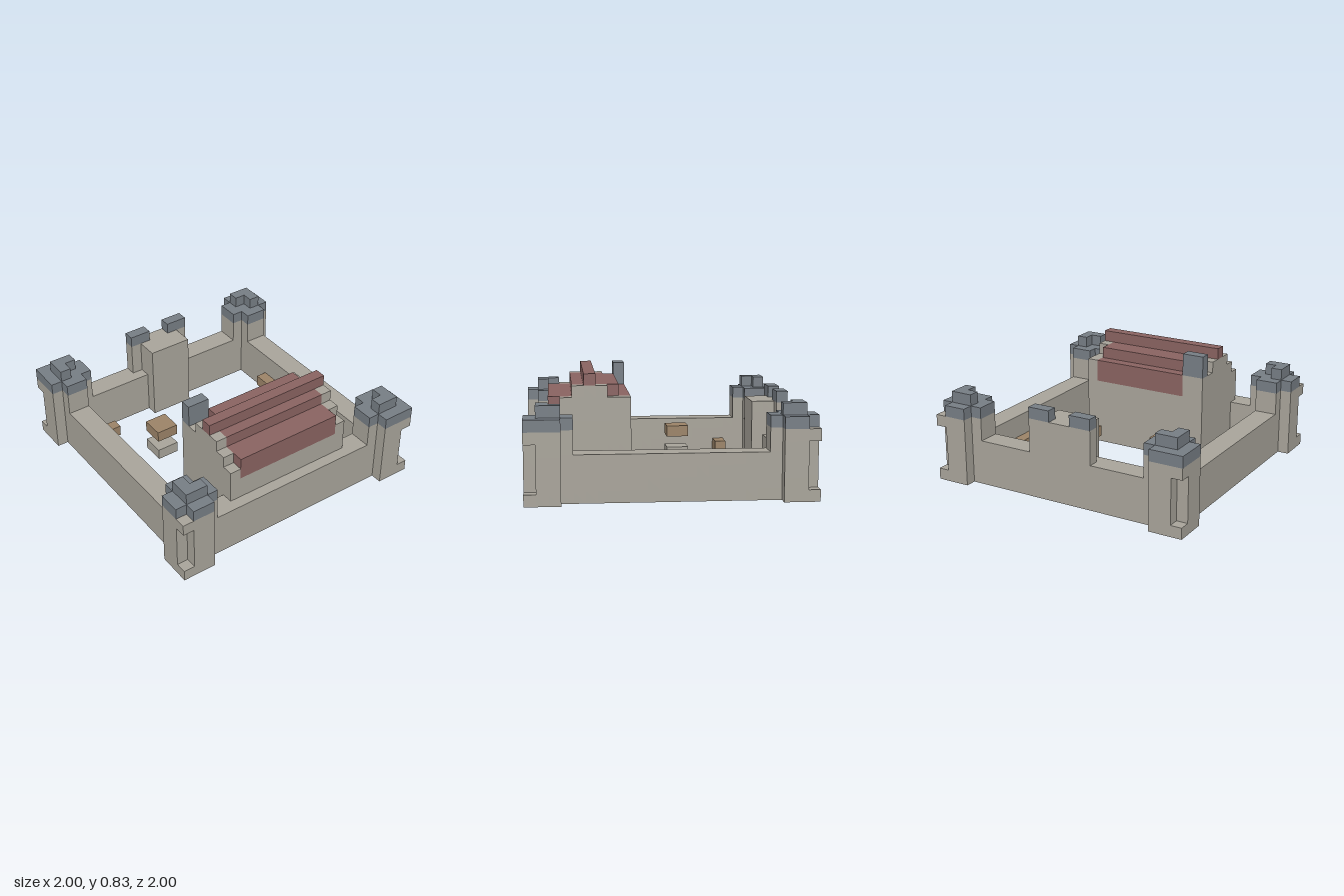
import * as THREE from 'three';

const UNIT = 1 / 12; // edge length of one block

function makeMaterial(name, color) {
  const m = new THREE.MeshStandardMaterial({ color, side: THREE.DoubleSide });
  m.name = name;
  return m;
}

// Block faces, wound outwards; the shell is open underneath.
const FACES = [
  { d: [1, 0, 0], c: [[1, 0, 0], [1, 1, 0], [1, 1, 1], [1, 0, 1]] },
  { d: [-1, 0, 0], c: [[0, 0, 0], [0, 0, 1], [0, 1, 1], [0, 1, 0]] },
  { d: [0, 1, 0], c: [[0, 1, 0], [0, 1, 1], [1, 1, 1], [1, 1, 0]] },
  { d: [0, 0, 1], c: [[0, 0, 1], [1, 0, 1], [1, 1, 1], [0, 1, 1]] },
  { d: [0, 0, -1], c: [[0, 0, 0], [0, 1, 0], [1, 1, 0], [1, 0, 0]] },
];

export function createModel() {
  const stone = makeMaterial('stone', 0xa9a59b);
  const slate = makeMaterial('slate', 0x777e85);
  const tile = makeMaterial('roofTile', 0x8a6361);
  const wood = makeMaterial('wood', 0x9c8468);

  const cells = new Map(); // "x,y,z" -> part name
  const parts = new Map(); // part name -> material

  // Fill (or clear, with a null name) a range of blocks.
  function fill(name, material, x0, x1, y0, y1, z0, z1) {
    if (name) parts.set(name, material);
    for (let x = x0; x < x1; x++)
      for (let y = y0; y < y1; y++)
        for (let z = z0; z < z1; z++) {
          const key = `${x},${y},${z}`;
          if (name) cells.set(key, name);
          else cells.delete(key);
        }
  }

  // Curtain walls
  fill('frontWall', stone, -9, 9, 0, 4, 9, 11);
  fill('backWall', stone, -9, 9, 0, 4, -11, -9);
  fill('rightWall', stone, -11, -9, 0, 4, -9, 9);
  fill('leftWall', stone, 9, 11, 0, 4, -9, 9);

  // Corner towers, described from the outer corner inwards and mirrored
  for (const sx of [-1, 1]) {
    for (const sz of [-1, 1]) {
      const id = (sz > 0 ? 'front' : 'back') + (sx > 0 ? 'Left' : 'Right');
      const put = (name, mat, a0, a1, y0, y1, b0, b1) => fill(name, mat,
        sx > 0 ? a0 : -a1, sx > 0 ? a1 : -a0, y0, y1,
        sz > 0 ? b0 : -b1, sz > 0 ? b1 : -b0);
      for (const [name, mat, y0, y1] of [
        [id + 'Tower', stone, 0, 6],
        [id + 'TowerCap', slate, 6, 7],
      ]) {
        put(name, mat, 9, 12, y0, y1, 9, 12);
        put(name, mat, 8, 9, y0, y1, 9, 11);
        put(name, mat, 9, 11, y0, y1, 8, 9);
      }
      put(id + 'TowerCap', slate, 9, 11, 7, 8, 9, 11);
      put(null, null, 9, 10, 7, 8, 9, 10); // notch in the crown
      put(null, null, 11, 12, 1, 5, 11, 12); // corner niche
      if (sx !== sz) put(null, null, 11, 12, 6, 7, 11, 12); // broken corner
    }
  }

  // Gatehouse in the back wall with two merlons
  fill('gatehouse', stone, -2, 2, 0, 7, -11, -8);
  fill('gatehouse', stone, -3, 3, 4, 7, -11, -10);
  fill('gatehouseMerlons', slate, -3, -1, 7, 8, -11, -10);
  fill('gatehouseMerlons', slate, 1, 3, 7, 8, -11, -10);

  // Hall body with stepped gables
  fill('hall', stone, -6, 6, 0, 7, 3, 10);
  fill('hall', stone, -6, 6, 7, 8, 3, 9);
  fill('hall', stone, -6, 6, 8, 9, 5, 8);

  // Stepped tile roof and ridge
  fill('hallRoof', tile, -5, 5, 6, 8, 5, 10);
  fill('hallRoof', tile, -4, 5, 6, 8, 3, 5);
  fill('hallRoof', tile, -5, 5, 8, 9, 5, 8);
  fill('hallRoof', tile, -4, 5, 8, 9, 4, 5);
  fill('hallRidge', tile, -6, 6, 9, 10, 6, 7);
  fill('chimney', slate, -6, -4, 8, 10, 3, 4);

  // Courtyard: well with a canopy, benches and a crate
  fill('wellBase', stone, -6, -4, 1, 2, -3, -1);
  fill('wellCanopy', wood, -6, -4, 3, 4, -3, -1);
  fill('smallBench', wood, -9, -7, 1, 2, -7, -6);
  fill('longBench', wood, 8, 9, 1, 2, -5, 1);
  fill('crate', wood, 4, 5, 1, 2, 1, 2);

  // Collect the exposed faces of each part
  const positions = new Map([...parts.keys()].map((n) => [n, []]));
  for (const [key, name] of cells) {
    const p = key.split(',').map(Number);
    const out = positions.get(name);
    for (const { d, c } of FACES) {
      if (cells.has(p.map((v, i) => v + d[i]).join(','))) continue;
      for (const k of [0, 1, 2, 0, 2, 3])
        out.push(...p.map((v, i) => (v + c[k][i]) * UNIT));
    }
  }

  const group = new THREE.Group();
  group.name = 'castle';
  for (const [name, material] of parts) {
    const geometry = new THREE.BufferGeometry();
    geometry.setAttribute('position', new THREE.Float32BufferAttribute(positions.get(name), 3));
    geometry.computeVertexNormals();
    const mesh = new THREE.Mesh(geometry, material);
    mesh.name = name;
    group.add(mesh);
  }
  return group;
}
